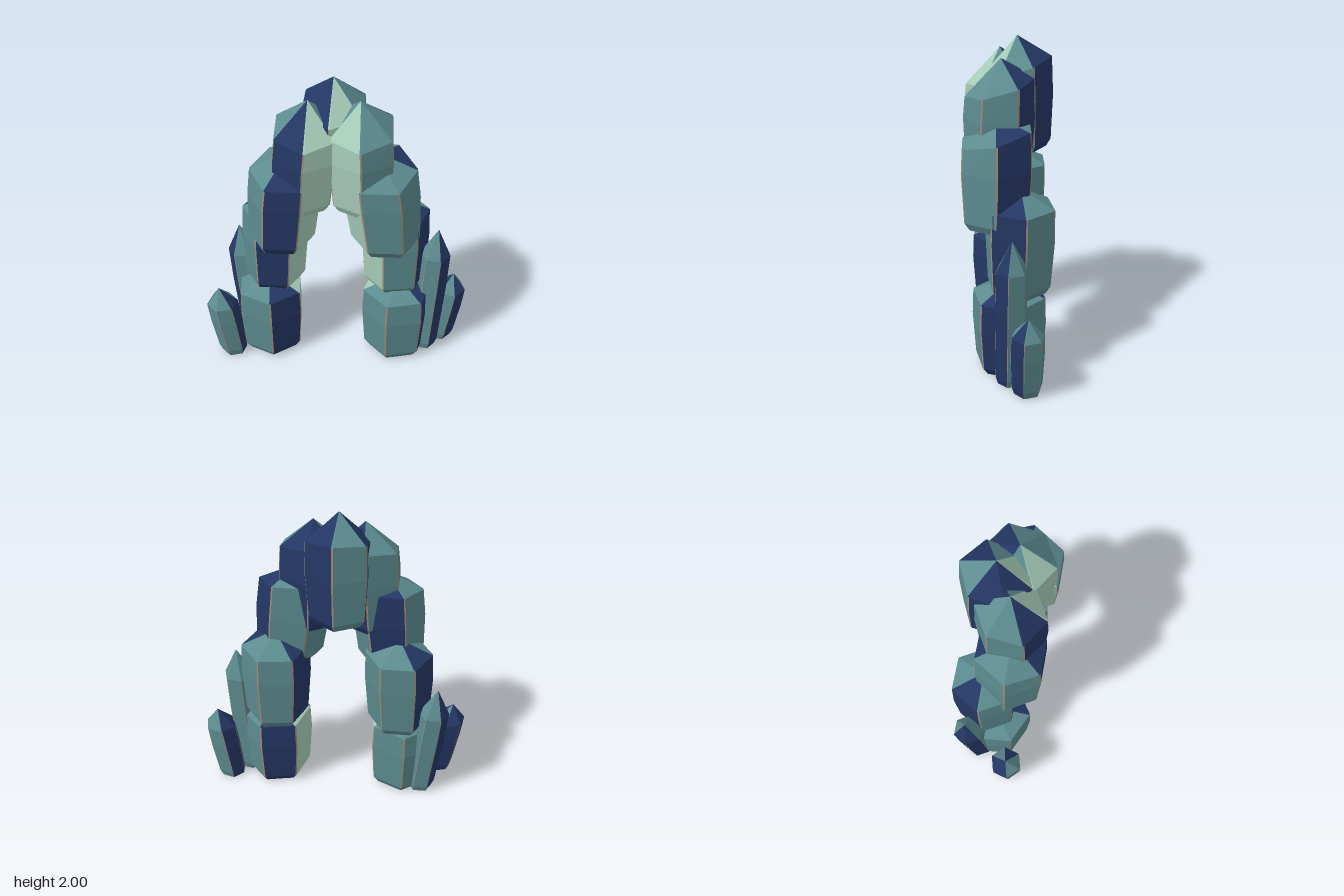
import * as THREE from 'three';

const mat = (name, color) => {
  const m = new THREE.MeshStandardMaterial({ color });
  m.name = name;
  return m;
};
const MATERIALS = [
  mat('teal crystal', 0x5c8b8f),
  mat('navy crystal', 0x243764),
  mat('pale mint crystal', 0xa6ccb9),
  mat('tan edge', 0xa08c7c),
];
const EDGE = 3;
const INDEX = { t: 0, n: 1, m: 2 };
const DEG = Math.PI / 180;

// Six-sided crystal: chamfered foot, slightly bulging body, pointed tip and
// narrow bevelled strips along the upright edges.
// faces: one colour letter per side, counted from the front towards +x.
function crystal({ name, base, tip, shoulder, r, phase = 0, slope = 0, faces }) {
  const height = tip[1] - base[1];
  const foot = base[1] + Math.min(0.05, height * 0.1);
  const mid = THREE.MathUtils.lerp(foot, shoulder, 0.62);
  const levels = [[base[1], 0.78], [foot, 0.92], [mid, 1], [shoulder, 0.97]];

  // Each ring has a pair of points at every corner
  const rings = levels.map(([y, k], level) => {
    const t = (y - base[1]) / height;
    const cx = THREE.MathUtils.lerp(base[0], tip[0], t);
    const cz = THREE.MathUtils.lerp(base[2], tip[2], t);
    const ring = [];
    for (let i = 0; i < 6; i++) {
      for (const side of [-1, 1]) {
        const a = (phase + i * 60 + side * 1.4) * DEG;
        const dz = Math.cos(a) * r * k;
        const dy = level === 3 ? dz * slope : 0;
        ring.push([cx + Math.sin(a) * r * k, y + dy, cz + dz]);
      }
    }
    return ring;
  });

  const buckets = MATERIALS.map(() => []);
  const tri = (m, a, b, c) => buckets[m].push(...a, ...b, ...c);
  for (let j = 0; j < 12; j++) {
    const k = (j + 1) % 12;
    const face = INDEX[faces[Math.floor(j / 2)]];
    const side = j % 2 ? face : EDGE;
    for (let l = 0; l < 3; l++) {
      const lo = rings[l], hi = rings[l + 1];
      tri(side, lo[j], lo[k], hi[k]);
      tri(side, lo[j], hi[k], hi[j]);
    }
    tri(face, rings[3][j], rings[3][k], tip);
    tri(0, base, rings[0][k], rings[0][j]);
  }

  const geometry = new THREE.BufferGeometry();
  let start = 0;
  buckets.forEach((b, i) => {
    if (!b.length) return;
    geometry.addGroup(start, b.length / 3, i);
    start += b.length / 3;
  });
  geometry.setAttribute('position', new THREE.Float32BufferAttribute(buckets.flat(), 3));
  geometry.computeVertexNormals();
  const mesh = new THREE.Mesh(geometry, MATERIALS);
  mesh.name = name;
  return mesh;
}

const CRYSTALS = [
  // Arch feet
  { name: 'leftFoot', base: [0.4, 0, 0], tip: [0.4, 0.59, 0], shoulder: 0.5, r: 0.235, phase: -18, faces: 'tntnmt' },
  { name: 'rightFoot', base: [-0.45, 0, 0], tip: [-0.45, 0.59, 0], shoulder: 0.5, r: 0.23, phase: 5, faces: 'nmtttt' },
  // Lower legs
  { name: 'leftLowerLeg', base: [0.38, 0.52, -0.06], tip: [0.37, 1.18, -0.07], shoulder: 1.07, r: 0.22, phase: -22, faces: 'tnttnm' },
  { name: 'rightLowerLeg', base: [-0.42, 0.52, -0.06], tip: [-0.4, 1.18, -0.08], shoulder: 1.07, r: 0.215, phase: -30, faces: 'nmttnt' },
  // Upper legs
  { name: 'leftUpperLeg', base: [0.31, 0.93, 0.075], tip: [0.24, 1.58, 0.07], shoulder: 1.47, r: 0.235, phase: -30, slope: -0.25, faces: 'ttnttm' },
  { name: 'rightUpperLeg', base: [-0.35, 0.93, 0.075], tip: [-0.3, 1.56, 0.07], shoulder: 1.45, r: 0.225, phase: -30, slope: -0.2, faces: 'nmtntt' },
  // Crown of the arch
  { name: 'leftCrown', base: [0.155, 1.21, 0.06], tip: [0.135, 1.9, 0.04], shoulder: 1.73, r: 0.215, slope: -0.27, faces: 'ttnntm' },
  { name: 'rightCrown', base: [-0.215, 1.21, 0.06], tip: [-0.17, 1.9, 0.04], shoulder: 1.72, r: 0.213, slope: -0.27, faces: 'mtnttn' },
  { name: 'backCrown', base: [-0.03, 1.31, -0.08], tip: [-0.025, 2, -0.06], shoulder: 1.82, r: 0.21, phase: -5, slope: -0.28, faces: 'mtntnn' },
  // Small crystals beside the feet
  { name: 'leftShortShard', base: [0.71, 0, -0.1], tip: [0.78, 0.54, -0.1], shoulder: 0.42, r: 0.105, phase: 15, faces: 'nttnnt' },
  { name: 'leftTallShard', base: [0.6, 0, 0], tip: [0.645, 0.97, -0.01], shoulder: 0.78, r: 0.1, phase: 18, faces: 'nttttt' },
  { name: 'rightShortShard', base: [-0.71, 0, 0.12], tip: [-0.78, 0.54, 0.12], shoulder: 0.42, r: 0.105, phase: -15, faces: 'tntnnt' },
  { name: 'rightTallShard', base: [-0.59, 0, -0.1], tip: [-0.66, 0.86, -0.16], shoulder: 0.67, r: 0.1, phase: -30, faces: 'ttttnn' },
];

export function createModel() {
  const model = new THREE.Group();
  model.name = 'crystalArch';
  for (const spec of CRYSTALS) model.add(crystal(spec));
  return model;
}
